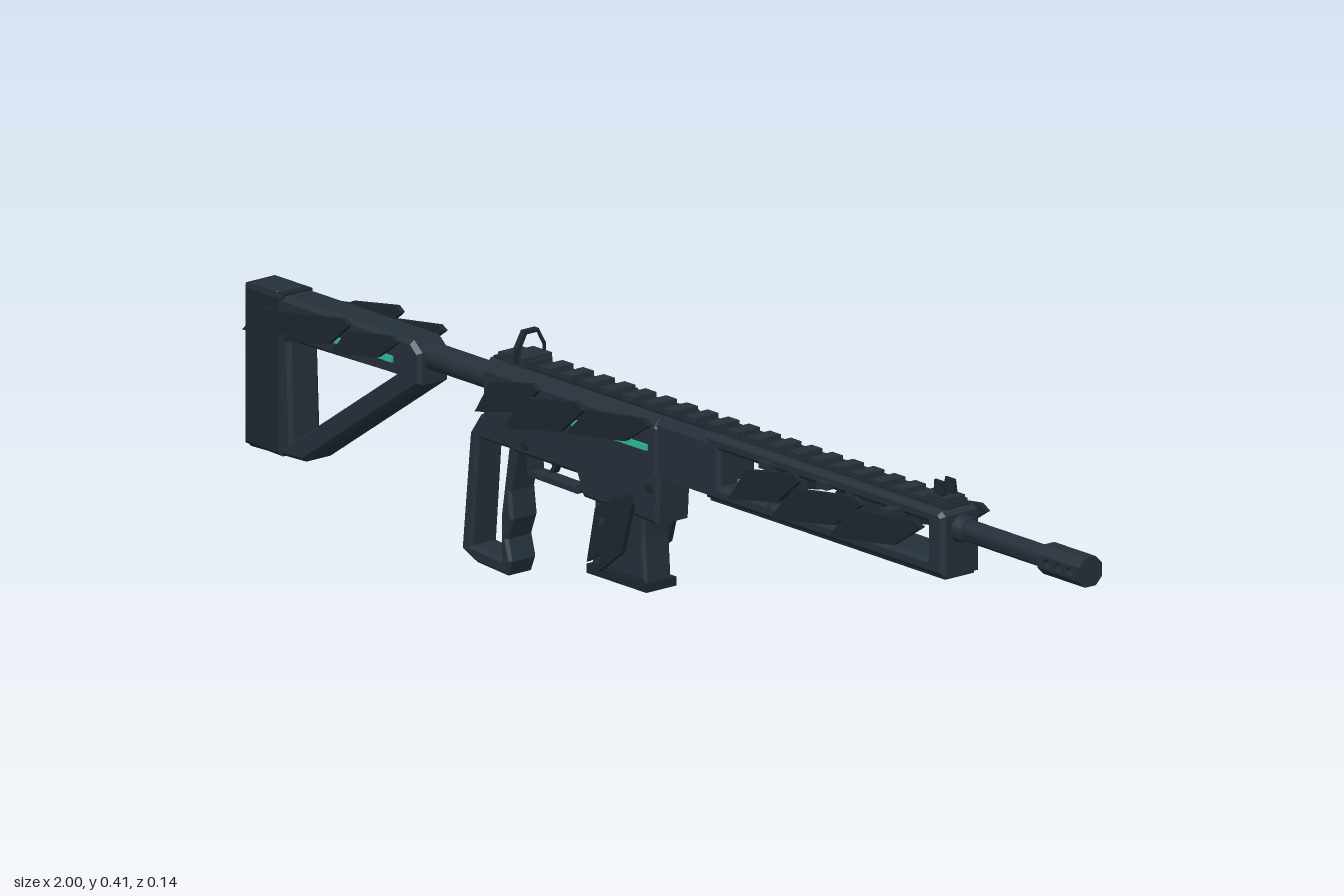
import * as THREE from 'three';
import { toCreasedNormals } from 'three/addons/utils/BufferGeometryUtils.js';

const material = (name, color) => {
  const m = new THREE.MeshStandardMaterial({ color });
  m.name = name;
  return m;
};

export function createModel() {
  const model = new THREE.Group();
  model.name = 'rifle';
  const body = material('dark slate', 0x25303a);
  const armour = material('deep slate', 0x1d262e);
  const glow = material('teal', 0x2fb898);

  const add = (name, geometry, mat) => {
    const mesh = new THREE.Mesh(geometry, mat);
    mesh.name = name;
    model.add(mesh);
    return mesh;
  };
  const box = (name, x0, x1, y0, y1, z0, z1, mat = body) => {
    const g = new THREE.BoxGeometry(x1 - x0, y1 - y0, z1 - z0);
    g.translate((x0 + x1) / 2, (y0 + y1) / 2, (z0 + z1) / 2);
    return add(name, g, mat);
  };
  const toShape = (pts, holes) => {
    const s = new THREE.Shape(pts.map(p => new THREE.Vector2(...p)));
    for (const h of holes) s.holes.push(new THREE.Path(h.map(p => new THREE.Vector2(...p))));
    return s;
  };
  const extrude = (pts, depth, holes, bevel) => new THREE.ExtrudeGeometry(toShape(pts, holes), {
    depth: depth - 2 * bevel, bevelEnabled: bevel > 0, bevelSegments: 1,
    bevelSize: bevel, bevelThickness: bevel, bevelOffset: -bevel,
  }).translate(0, 0, bevel);
  // Side profile (x, y) given thickness between z0 and z1
  const slab = (name, pts, z0, z1, mat = body, holes = [], bevel = 0) =>
    add(name, extrude(pts, z1 - z0, holes, bevel).translate(0, 0, z0), mat);
  // Cross-section (z, y) run along x
  const prism = (name, pts, x0, x1, mat = body, holes = [], bevel = 0) => {
    const flip = list => list.map(([z, y]) => [-z, y]);
    const g = extrude(flip(pts), x1 - x0, holes.map(flip), bevel);
    return add(name, g.rotateY(Math.PI / 2).translate(x0, 0, 0), mat);
  };
  const tube = (name, r0, r1, x0, x1, y, sides = 12) => {
    const g = new THREE.CylinderGeometry(r1, r0, x1 - x0, sides).rotateZ(-Math.PI / 2);
    g.translate((x0 + x1) / 2, y, 0);
    return add(name, toCreasedNormals(g, 0.6), body);
  };
  const circle = (x, y, r) => Array.from({ length: 8 }, (_, i) =>
    [x + r * Math.cos(i * Math.PI / 4), y + r * Math.sin(i * Math.PI / 4)]);

  // Barrel and vented muzzle
  tube('barrel', 0.018, 0.018, 0.67, 0.91, 0.32);
  tube('barrelCollar', 0.024, 0.02, 0.685, 0.71, 0.32);
  slab('muzzleCore', [[0.9, 0.309], [1, 0.309], [1, 0.331], [0.9, 0.331]], -0.024, 0.024, body,
    [0.922, 0.95, 0.978].map(x => circle(x, 0.32, 0.008)));
  for (const s of [-1, 1])
    prism('muzzleShell', [[-0.024, 0.32 + s * 0.011], [0.024, 0.32 + s * 0.011],
      [0.011, 0.32 + s * 0.024], [-0.011, 0.32 + s * 0.024]], 0.9, 1);

  // Handguard with open sides
  const rect = (x0, x1, y0, y1) => [[x0, y0], [x1, y0], [x1, y1], [x0, y1]];
  slab('handguard', [[0.115, 0.245], [0.69, 0.245], [0.69, 0.345], [0.68, 0.352], [0.115, 0.352]],
    -0.04, 0.04, body,
    [rect(0.15, 0.26, 0.27, 0.328), rect(0.28, 0.45, 0.27, 0.328), rect(0.47, 0.65, 0.27, 0.328)], 0.007);
  box('handguardLowerRail', 0.12, 0.685, 0.24, 0.25, -0.03, 0.03, armour);
  prism('handguardNeck', [[-0.036, 0.25], [0.036, 0.25], [0.036, 0.335], [0.026, 0.35],
    [-0.026, 0.35], [-0.036, 0.335]], -0.005, 0.12);

  // Upper and lower receiver
  prism('upperReceiver', [[-0.04, 0.25], [0.04, 0.25], [0.04, 0.33], [0.026, 0.35],
    [-0.026, 0.35], [-0.04, 0.33]], -0.42, 0, body, [], 0.005);
  slab('lowerReceiver', [[-0.42, 0.255], [-0.42, 0.235], [-0.35, 0.21], [-0.2, 0.21],
    [-0.185, 0.175], [-0.005, 0.17], [0, 0.255]], -0.035, 0.035, body, [], 0.006);
  box('ejectionPort', -0.17, -0.05, 0.285, 0.315, -0.044, -0.038, armour);
  box('chargingHandle', -0.11, -0.06, 0.318, 0.33, -0.06, -0.035, armour);
  box('chargingKnob', -0.09, -0.06, 0.312, 0.336, -0.066, -0.054);
  for (const s of [-1, 1])
    for (const [x, y] of [[-0.32, 0.228], [-0.02, 0.228]]) {
      const pin = add('receiverPin', new THREE.CylinderGeometry(0.008, 0.008, 0.006, 8).rotateX(Math.PI / 2), armour);
      pin.position.set(x, y, s * 0.037);
    }

  // Toothed top rail
  box('topRail', -0.41, 0.68, 0.347, 0.354, -0.024, 0.024, armour);
  for (let i = 0; i < 22; i++) {
    const x = -0.4 + i * 0.05;
    box('railTooth', x, x + 0.026, 0.353, 0.362, -0.024, 0.024);
  }

  // Sights
  box('rearSightBase', -0.375, -0.33, 0.35, 0.367, -0.028, 0.028);
  prism('rearSight', [[-0.029, 0.355], [0.029, 0.355], [0.029, 0.38], [0.014, 0.406],
    [-0.014, 0.406], [-0.029, 0.38]], -0.356, -0.346, armour,
    [[[-0.022, 0.366], [0.022, 0.366], [0.022, 0.378], [0.01, 0.4], [-0.01, 0.4], [-0.022, 0.378]]]);
  box('frontSightBase', 0.63, 0.675, 0.35, 0.368, -0.02, 0.02);
  for (const z of [-0.011, 0.011])
    prism('frontSightEar', [[z - 0.005, 0.365], [z + 0.005, 0.365], [z + 0.003, 0.392], [z - 0.001, 0.392]], 0.64, 0.662, armour);
  prism('frontSightPost', [[-0.003, 0.365], [0.003, 0.365], [0, 0.385]], 0.648, 0.655, armour);

  // Magazine
  slab('magazine', [[-0.165, 0.22], [-0.165, 0.14], [-0.172, 0.065], [-0.04, 0.065],
    [-0.045, 0.14], [-0.04, 0.22]], -0.028, 0.028, body, [], 0.005);
  box('magazineBase', -0.178, -0.034, 0.052, 0.067, -0.031, 0.031, armour);

  // Open-frame grip
  slab('grip', [[-0.44, 0.25], [-0.465, 0.215], [-0.485, 0.02], [-0.45, 0.005], [-0.375, 0],
    [-0.365, 0.025], [-0.375, 0.06], [-0.362, 0.095], [-0.368, 0.14], [-0.35, 0.21], [-0.35, 0.25]],
    -0.028, 0.028, body,
    [[[-0.46, 0.03], [-0.39, 0.025], [-0.39, 0.1], [-0.372, 0.21], [-0.445, 0.21]],
      rect(-0.43, -0.37, 0.224, 0.243)], 0.005);

  // Trigger and guard
  slab('triggerGuard', [[-0.345, 0.215], [-0.34, 0.17], [-0.22, 0.168], [-0.195, 0.19], [-0.195, 0.215]],
    -0.014, 0.014, body, [[[-0.335, 0.213], [-0.333, 0.179], [-0.225, 0.177], [-0.206, 0.193], [-0.206, 0.213]]]);
  slab('trigger', [[-0.3, 0.22], [-0.29, 0.195], [-0.3, 0.182], [-0.287, 0.185], [-0.28, 0.2], [-0.285, 0.22]],
    -0.006, 0.006, armour);

  // Stock tube and skeleton stock
  tube('stockTube', 0.022, 0.022, -0.62, -0.41, 0.308);
  tube('stockTubeCollar', 0.026, 0.026, -0.435, -0.415, 0.308);
  slab('stock', [[-0.995, 0.07], [-0.86, 0.075], [-0.58, 0.265], [-0.58, 0.318], [-0.6, 0.335],
    [-0.92, 0.335], [-0.93, 0.34], [-0.99, 0.34], [-0.995, 0.33]],
    -0.032, 0.032, body, [[[-0.89, 0.1], [-0.64, 0.27], [-0.895, 0.265]]], 0.007);
  slab('buttPad', [[-1, 0.075], [-0.91, 0.073], [-0.91, 0.338], [-1, 0.338]], -0.036, 0.036, armour, [], 0.006);

  // Layered leaf-shaped armour plates, mirrored on both sides: [x0, x1, y0, y1, layer]
  const leaf = (x0, x1, y0, y1) => {
    const l = x1 - x0, h = y1 - y0;
    return [[x0, y0], [x1 - 0.3 * l, y0 + 0.3 * h], [x1, y1 - 0.12 * h], [x1 - 0.08 * l, y1], [x0 + 0.25 * l, y0 + 0.75 * h]];
  };
  const plates = {
    handguardPlate: [[0.19, 0.36, 0.262, 0.34, 0.046], [0.3, 0.52, 0.258, 0.34, 0.054], [0.45, 0.675, 0.265, 0.34, 0.063]],
    receiverPlate: [[-0.42, -0.27, 0.265, 0.342, 0.046], [-0.34, -0.15, 0.258, 0.34, 0.054], [-0.2, 0, 0.28, 0.346, 0.046]],
    stockPlate: [[-0.985, -0.81, 0.268, 0.328, 0.042], [-0.88, -0.72, 0.275, 0.345, 0.05], [-0.77, -0.61, 0.28, 0.34, 0.044]],
    magazinePlate: [[-0.165, -0.085, 0.075, 0.2, 0.033], [-0.125, -0.045, 0.07, 0.215, 0.044]],
  };
  for (const s of [-1, 1]) {
    for (const [name, list] of Object.entries(plates))
      for (const [x0, x1, y0, y1, z] of list)
        slab(name, leaf(x0, x1, y0, y1), s > 0 ? z : -z - 0.009, s > 0 ? z + 0.009 : -z, armour);
    // Spacers joining the plates to the body
    for (const [x, y] of [[0.27, 0.335], [0.41, 0.335], [0.58, 0.332], [-0.33, 0.31], [-0.24, 0.3], [-0.09, 0.318],
      [-0.88, 0.3], [-0.8, 0.31], [-0.69, 0.31], [-0.12, 0.15], [-0.085, 0.15]]) {
      const z = x > 0.5 ? 0.064 : x > -0.2 && y < 0.2 ? 0.045 : x < -0.6 ? 0.046 : 0.05;
      box('plateSpacer', x - 0.012, x + 0.012, y - 0.006, y + 0.006, s > 0 ? 0.025 : -z, s > 0 ? z : -0.025);
    }
    // Light strips tucked behind the plates
    for (const [x0, x1, y, z] of [[-0.4, -0.02, 0.296, 0.042], [-0.92, -0.64, 0.296, 0.036],
      [0.2, 0.26, 0.29, 0.041], [0.38, 0.43, 0.29, 0.041], [-0.11, -0.09, 0.14, 0.031]])
      box('lightStrip', x0, x1, y - 0.005, y + 0.005, s * z - 0.002, s * z + 0.002, glow);
  }
  return model;
}
